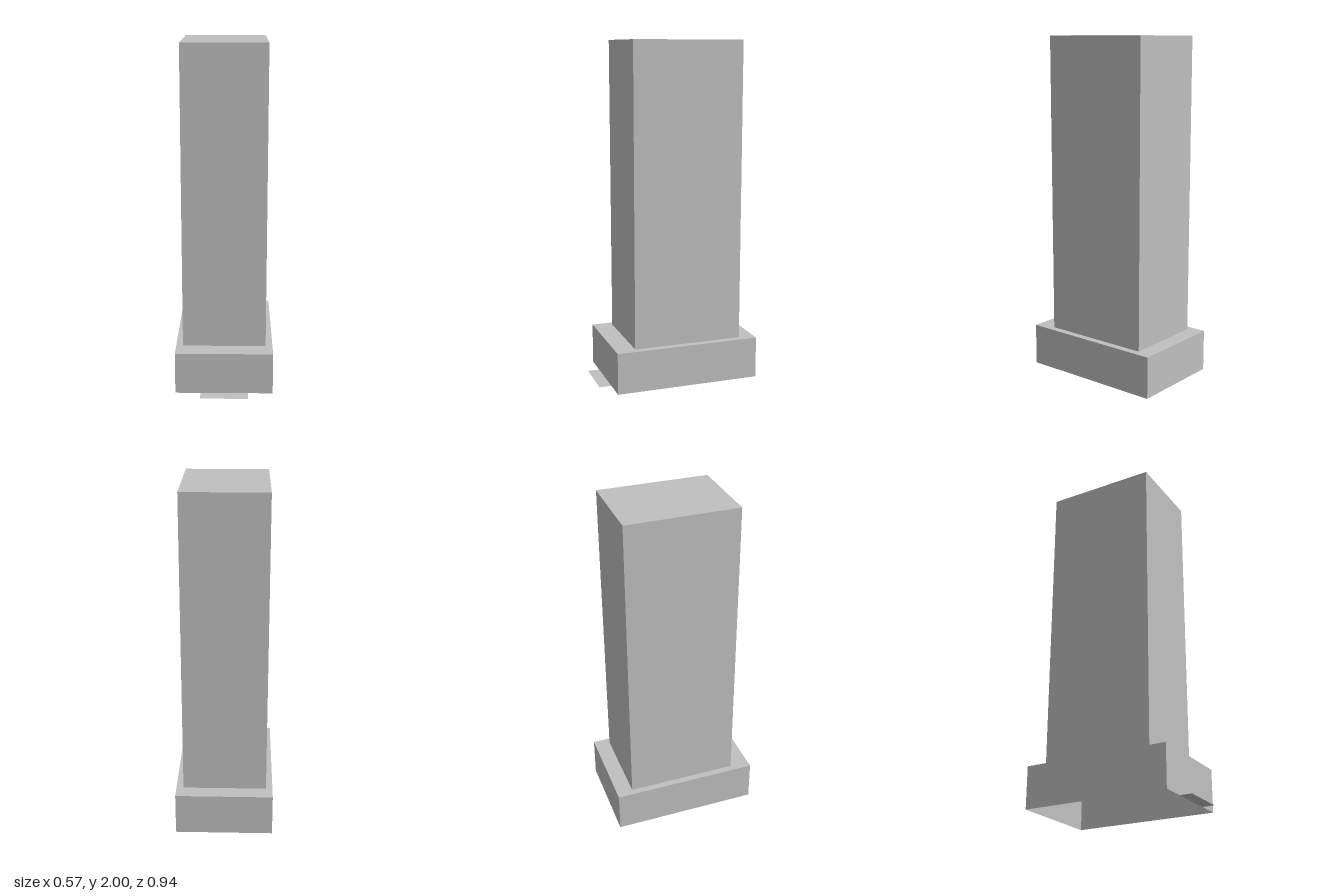
import * as THREE from 'three';

const grey = new THREE.MeshStandardMaterial({ color: 0xc0c0c0, side: THREE.DoubleSide });
grey.name = 'concreteGrey';

// Shell over an [x, z] outline: side walls and a roof, open underneath
function openBlock(name, corners, y0, y1) {
  const positions = [];
  const quad = (a, b, c, d) => positions.push(...a, ...b, ...c, ...a, ...c, ...d);
  const at = ([x, z], y) => [x, y, z];
  if (y1 > y0) {
    corners.forEach((p, i) => {
      const q = corners[(i + 1) % corners.length];
      quad(at(p, y0), at(p, y1), at(q, y1), at(q, y0));
    });
  }
  quad(...[...corners].reverse().map((p) => at(p, y1)));
  const geometry = new THREE.BufferGeometry();
  geometry.setAttribute('position', new THREE.Float32BufferAttribute(positions, 3));
  geometry.computeVertexNormals();
  const mesh = new THREE.Mesh(geometry, grey);
  mesh.name = name;
  return mesh;
}

const rectangle = (x0, x1, z0, z1) => [[x0, z0], [x1, z0], [x1, z1], [x0, z1]];

export function createModel() {
  const model = new THREE.Group();
  model.name = 'towerBlock';

  // Wide, slightly skewed podium, hollow below
  const podium = [[-0.283, -0.468], [0.283, -0.466], [0.281, 0.397], [-0.285, 0.397]];
  model.add(openBlock('podium', podium, 0, 0.245));

  // Tall shaft standing on the podium
  model.add(openBlock('tower', rectangle(-0.245, 0.241, -0.372, 0.28), 0.245, 2));

  // Flat slab on the ground at the entrance
  model.add(openBlock('entranceSlab', rectangle(-0.139, 0.138, 0.397, 0.468), 0, 0));

  return model;
}
